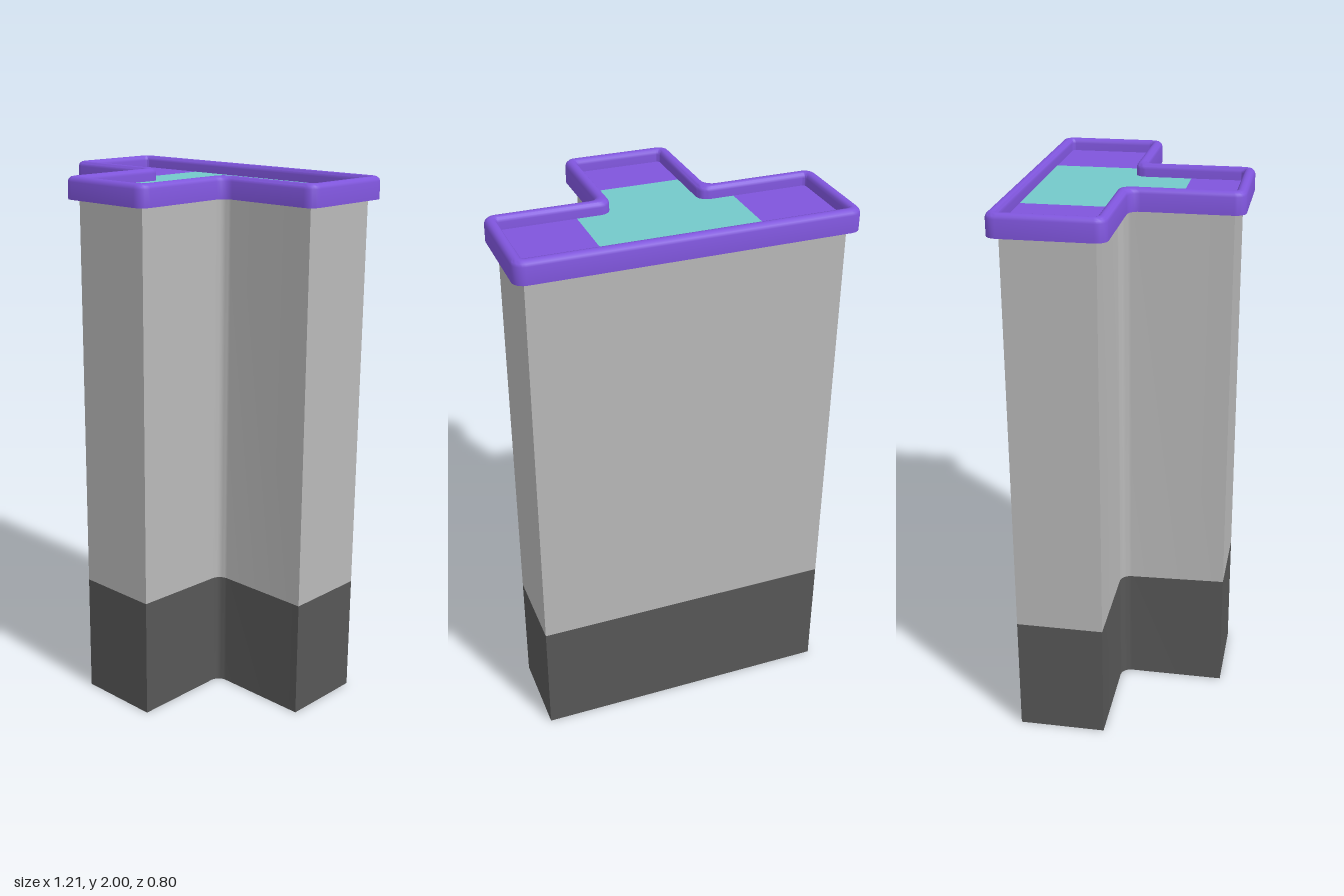
import * as THREE from 'three';
import { toCreasedNormals } from 'three/addons/utils/BufferGeometryUtils.js';

const mat = (name, color, side = THREE.DoubleSide) => {
  const m = new THREE.MeshStandardMaterial({ color, side });
  m.name = name;
  return m;
};

// T-shaped outline as [x, z] points, grown by off, with rounded corners
const CORNERS = [[-0.16, 0.36], [0.16, 0.36], [0.16, -0.04], [0.563, -0.04],
  [0.563, -0.36], [-0.563, -0.36], [-0.563, -0.04], [-0.16, -0.04]];
function outline(off, rConvex, rConcave, seg = 6) {
  const c = CORNERS.map(([x, z]) => new THREE.Vector2(
    x + off * Math.sign(x), z + off * (z > -0.1 ? 1 : -1)));
  const pts = [];
  c.forEach((p, i) => {
    const r = i === 2 || i === 7 ? rConcave : rConvex;
    if (r === 0) { pts.push([p.x, p.y]); return; }
    const u = c[(i + 7) % 8].clone().sub(p).normalize();
    const v = c[(i + 1) % 8].clone().sub(p).normalize();
    for (let k = 0; k <= seg; k++) {
      const t = (k / seg) * Math.PI / 2;
      const a = r * (1 - Math.sin(t)), b = r * (1 - Math.cos(t));
      pts.push([p.x + u.x * a + v.x * b, p.y + u.y * a + v.y * b]);
    }
  });
  return pts;
}

// Skin between rings of 3D points
function loft(rings, closed = false) {
  const n = rings[0].length, idx = [];
  const last = closed ? rings.length : rings.length - 1;
  for (let i = 0; i < last; i++) {
    const a = i * n, b = ((i + 1) % rings.length) * n;
    for (let j = 0; j < n; j++) {
      const k = (j + 1) % n;
      idx.push(a + j, a + k, b + j, a + k, b + k, b + j);
    }
  }
  const g = new THREE.BufferGeometry();
  g.setAttribute('position', new THREE.Float32BufferAttribute(rings.flat(2), 3));
  g.setIndex(idx);
  return toCreasedNormals(g, 0.9);
}

// Flat horizontal panel from [x, z] points
function panel(points, y) {
  const s = new THREE.Shape(points.map(([x, z]) => new THREE.Vector2(x, -z)));
  return new THREE.ShapeGeometry(s).rotateX(-Math.PI / 2).translate(0, y, 0);
}

export function createModel() {
  const group = new THREE.Group();
  const purple = mat('purple', 0x7f55dc);
  const teal = mat('teal', 0x74c9ca);
  const light = mat('lightGrey', 0xb9b9b9);
  const dark = mat('darkGrey', 0x575757);
  const add = (name, geo, m) => {
    const mesh = new THREE.Mesh(geo, m);
    mesh.name = name;
    group.add(mesh);
  };

  // Hollow walls, open below; the dark band is slightly higher on the nose
  const wall = outline(0, 0, 0.04);
  const ring = (f) => wall.map(([x, z]) => [x, f(z), z]);
  const split = (z) => (z > 0.001 ? 0.455 : 0.445);
  add('lowerWalls', loft([ring(() => 0), ring(split)]), dark);
  add('upperWalls', loft([ring(split), ring(() => 1.93)]), light);

  // Rounded rim swept around the top: [offset, height]
  const profile = [[0, 1.92], [0.04, 1.92], [0.04, 1.982], [0.037, 1.991], [0.03, 1.998],
    [0.022, 2], [0.016, 2], [0.008, 1.998], [0.002, 1.991], [0, 1.982]];
  add('rim', loft(profile.map(([o, y]) =>
    outline(o, 0.012 + o * 0.7, 0.04).map(([x, z]) => [x, y, z])), true), purple);

  // Recessed top: a teal centre with a purple panel at each end
  const Y = 1.955, X = 0.286, Z = 0.168;
  const clipped = outline(0, 0, 0.04).map(([x, z]) =>
    [THREE.MathUtils.clamp(x, -X, X), Math.min(z, Z)]);
  add('centrePanel', panel(clipped, Y), teal);
  const rect = (x0, x1, z0, z1) => [[x0, z1], [x1, z1], [x1, z0], [x0, z0]];
  add('leftPanel', panel(rect(X, 0.563, -0.36, -0.04), Y), purple);
  add('rightPanel', panel(rect(-0.563, -X, -0.36, -0.04), Y), purple);
  add('frontPanel', panel(rect(-0.16, 0.16, Z, 0.36), Y), purple);

  return group;
}
